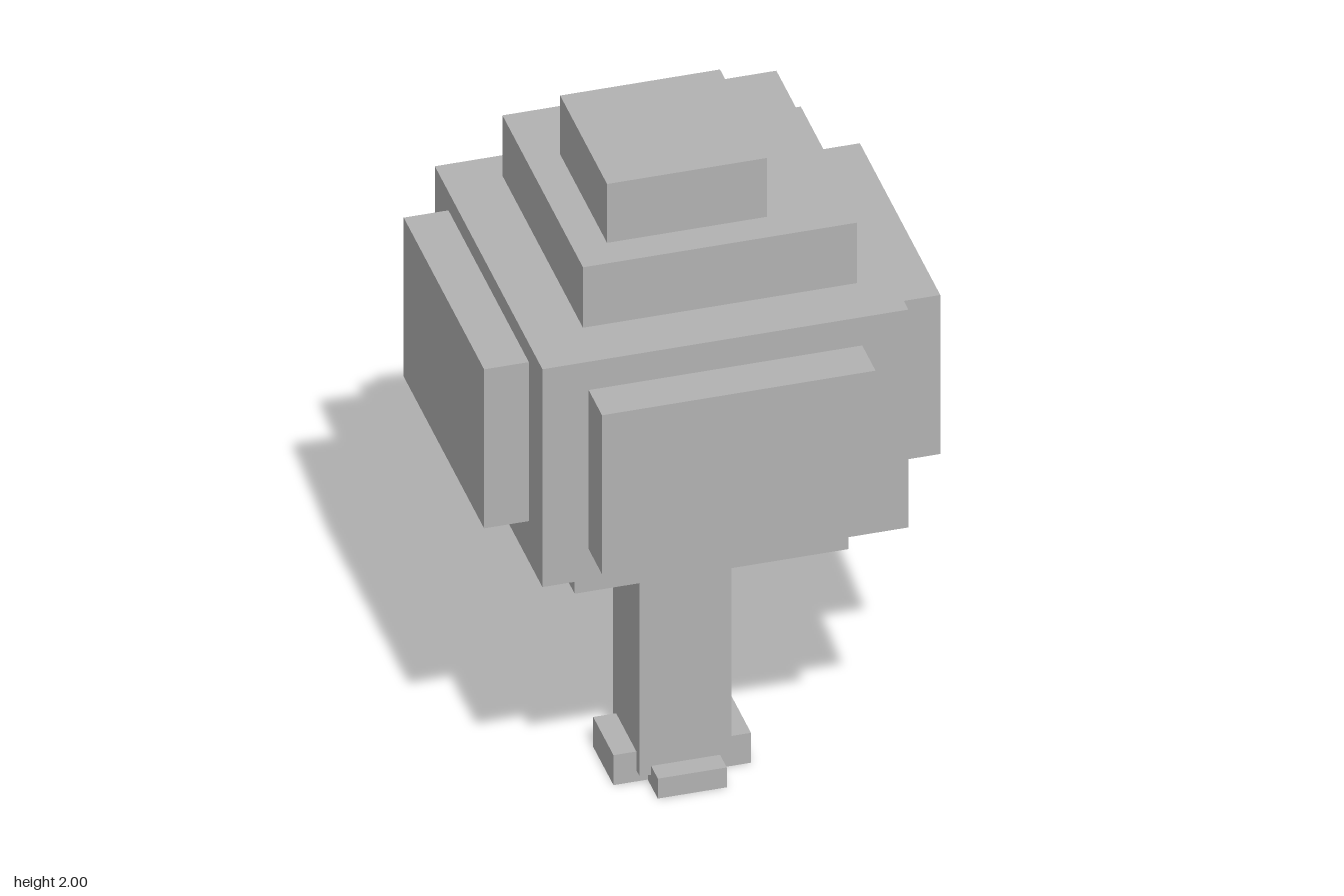
import * as THREE from 'three';

export function createModel() {
  const model = new THREE.Group();
  const grey = new THREE.MeshStandardMaterial({ color: 0xb2b2b2 });
  grey.name = 'plain grey';

  // Box given by its lower and upper corners
  function block(name, [x0, y0, z0], [x1, y1, z1]) {
    const mesh = new THREE.Mesh(new THREE.BoxGeometry(x1 - x0, y1 - y0, z1 - z0), grey);
    mesh.position.set((x0 + x1) / 2, (y0 + y1) / 2, (z0 + z1) / 2);
    mesh.name = name;
    model.add(mesh);
  }

  // Trunk, and two crossed root bars of different heights
  block('trunk', [-0.125, 0.035, -0.125], [0.125, 0.815, 0.125]);
  block('sideRoots', [-0.1875, 0, -0.094], [0.1875, 0.094, 0.094]);
  block('frontBackRoots', [-0.094, 0, -0.1875], [0.094, 0.0625, 0.1875]);

  // Crown, from the lowest leaf layer to the off-centre top
  block('lowerLeaves', [-0.375, 0.815, -0.375], [0.372, 0.94, 0.372]);
  block('mainLeaves', [-0.5, 0.94, -0.5], [0.498, 1.625, 0.498]);
  block('upperLeaves', [-0.343, 1.625, -0.407], [0.404, 1.815, 0.34]);
  block('topLeaves', [-0.25, 1.815, -0.188], [0.186, 2, 0.247]);

  // Leaf slabs on the four sides
  for (const s of [-1, 1]) {
    const near = Math.min(s * 0.498, s * 0.622);
    const far = Math.max(s * 0.498, s * 0.622);
    block(s > 0 ? 'leftLeaves' : 'rightLeaves', [near, 1.067, -0.374], [far, 1.567, 0.372]);
    block(s > 0 ? 'frontLeaves' : 'backLeaves', [-0.374, 1.036, near], [0.372, 1.536, far]);
  }

  return model;
}
